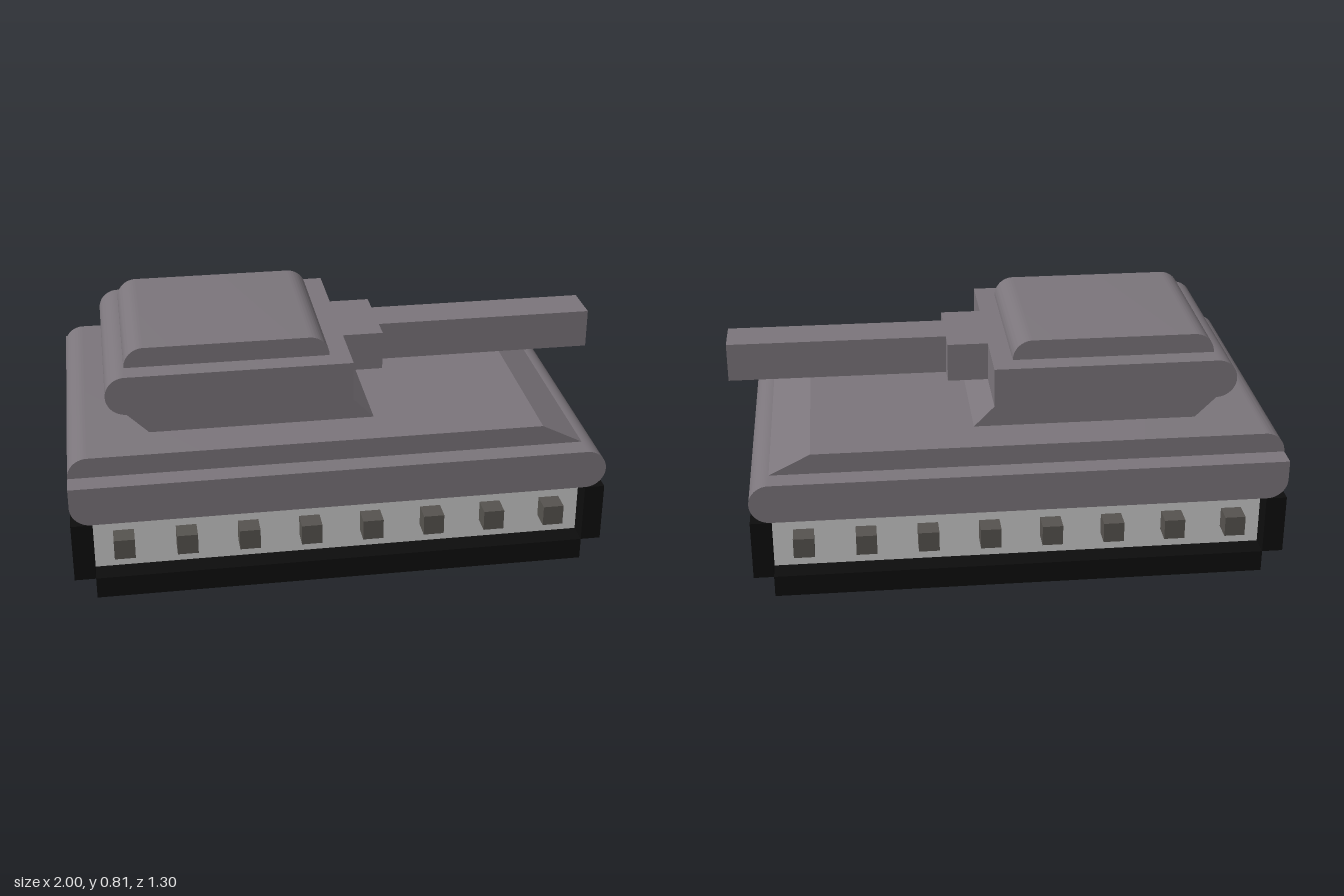
import * as THREE from 'three';
import { toCreasedNormals } from 'three/addons/utils/BufferGeometryUtils.js';

export function createModel() {
  const model = new THREE.Group();
  model.name = 'tank';

  const paint = (name, color) => {
    const m = new THREE.MeshStandardMaterial({ color });
    m.name = name;
    return m;
  };
  const armour = paint('armourGrey', 0x7b757b);
  const black = paint('trackBlack', 0x0d0d0d);
  const white = paint('panelWhite', 0xcacaca);
  const hub = paint('wheelGrey', 0x56534f);

  const add = (name, geometry, material) => {
    const mesh = new THREE.Mesh(geometry, material);
    mesh.name = name;
    model.add(mesh);
    return mesh;
  };

  // Box given by its limits
  const box = (name, material, x0, x1, y0, y1, z0, z1) =>
    add(name, new THREE.BoxGeometry(x1 - x0, y1 - y0, z1 - z0), material)
      .position.set((x0 + x1) / 2, (y0 + y1) / 2, (z0 + z1) / 2);

  // Side profile swept across the width, smooth on arcs and sharp elsewhere
  const sweep = (name, shape, halfWidth) => {
    const g = new THREE.ExtrudeGeometry(shape, { depth: 2 * halfWidth, bevelEnabled: false, curveSegments: 12 });
    g.translate(0, 0, -halfWidth);
    return add(name, toCreasedNormals(g, 0.3), armour);
  };

  const P = Math.PI;
  const R = 0.0725;

  // Lower hull: fully round nose, rear rounded only underneath
  const lower = new THREE.Shape();
  lower.moveTo(-1 + R, 0.3);
  lower.lineTo(0.92 - R, 0.3);
  lower.absarc(0.92 - R, 0.3 + R, R, -P / 2, P / 2, false);
  lower.lineTo(-1, 0.445);
  lower.lineTo(-1, 0.3 + R);
  lower.absarc(-1 + R, 0.3 + R, R, P, 1.5 * P, false);
  sweep('lowerHull', lower, 0.65);

  // Upper deck: sloped front, rounded rear top
  const deck = new THREE.Shape();
  deck.moveTo(-1, 0.445);
  deck.lineTo(0.848, 0.445);
  deck.lineTo(0.7, 0.52);
  deck.lineTo(-1 + R, 0.52);
  deck.absarc(-1 + R, 0.52 - R, R, P / 2, P, false);
  sweep('upperDeck', deck, 0.57);

  // Turret with flared foot and round back
  const turret = new THREE.Shape();
  turret.moveTo(-0.703, 0.52);
  turret.lineTo(0.11, 0.52);
  turret.lineTo(0.035, 0.596);
  turret.lineTo(0.035, 0.741);
  turret.lineTo(-0.78, 0.741);
  turret.absarc(-0.78, 0.741 - R, R, P / 2, 1.5 * P, false);
  sweep('turret', turret, 0.405);

  // Turret roof
  const roof = new THREE.Shape();
  roof.moveTo(-0.78, 0.741);
  roof.lineTo(-0.04, 0.741);
  roof.absarc(-0.04 - R, 0.742, R, 0, P / 2, false);
  roof.absarc(-0.78 + R, 0.742, R, P / 2, P, false);
  sweep('turretRoof', roof, 0.325);

  // Gun
  box('gunMantlet', armour, 0.035, 0.185, 0.596, 0.741, -0.1625, 0.1625);
  box('gunBarrel', armour, 0.185, 1, 0.596, 0.741, -0.08, 0.08);

  // Running gear: floor slab, end blocks and recessed core
  box('trackFloor', black, -0.925, 0.848, 0, 0.08, -0.65, 0.65);
  box('rearTrack', black, -1, -0.925, 0.08, 0.299, -0.65, 0.65);
  box('frontTrack', black, 0.848, 0.92, 0.08, 0.299, -0.65, 0.65);
  box('chassisCore', black, -0.925, 0.848, 0.08, 0.299, -0.565, 0.565);

  // Side panels with their square wheel hubs
  for (const s of [1, -1]) {
    const side = s > 0 ? 'front' : 'back';
    box(side + 'Panel', white, -0.925, 0.848, 0.08, 0.299, s * 0.5675 - 0.0035, s * 0.5675 + 0.0035);
    for (let i = 0; i < 8; i++) {
      const x = -0.818 + i * 0.2222;
      box(side + 'Wheel' + (i + 1), hub, x - 0.037, x + 0.037, 0.15, 0.225, s * 0.6075 - 0.0375, s * 0.6075 + 0.0375);
    }
  }

  return model;
}
